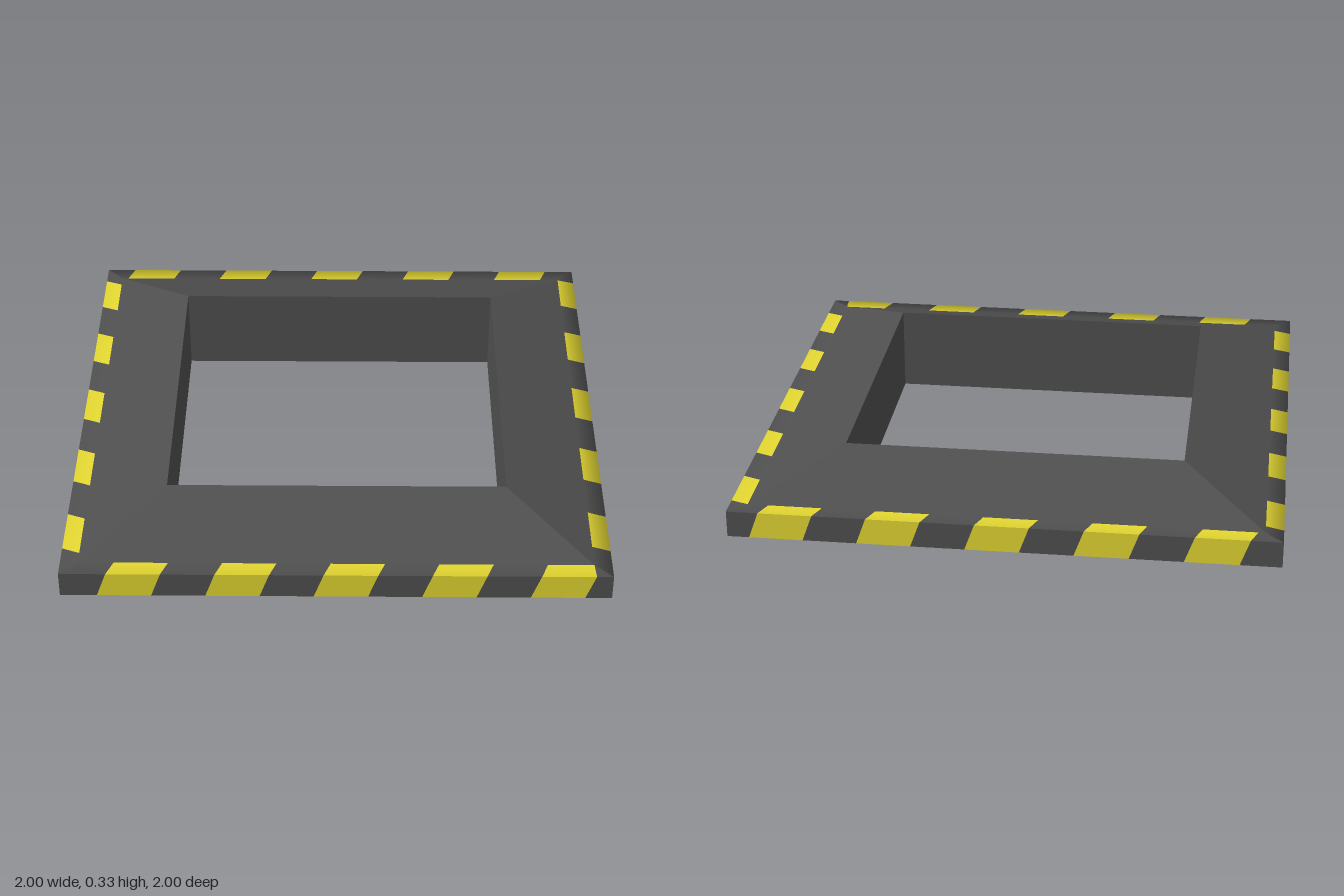
import * as THREE from 'three';

const rubber = new THREE.MeshStandardMaterial({ color: 0x4f4f4f });
rubber.name = 'darkGrey';
const paint = new THREE.MeshStandardMaterial({ color: 0xe0d430 });
paint.name = 'warningYellow';

// Cross-section of the frame: [distance from centre, height]
const BOTTOM_IN = [0.628, 0], BOTTOM_OUT = [1, 0.115], WALL_TOP = [1, 0.215];
const LEDGE_IN = [0.935, 0.215], TOP_IN = [0.628, 0.33];

// Normals of the softened ledge: [outward, up]
const ROUNDED = [0.8, 0.6], SLOPE = [0.35, 0.937];

// Mesh from quads, each { lower, upper: profile points, l, u: [start, end], normals }
function quadMesh(name, quads, material) {
  const pos = [], nor = [];
  for (const { lower, upper, l, u, normals } of quads) {
    const a = new THREE.Vector3(l[0], lower[1], lower[0]);
    const b = new THREE.Vector3(l[1], lower[1], lower[0]);
    const c = new THREE.Vector3(u[1], upper[1], upper[0]);
    const d = new THREE.Vector3(u[0], upper[1], upper[0]);
    const flat = b.clone().sub(a).cross(d.clone().sub(a)).normalize();
    const n = normals
      ? normals.map(([out, up]) => new THREE.Vector3(0, up, out).normalize())
      : [flat, flat];
    for (const p of [a, b, c, a, c, d]) {
      pos.push(p.x, p.y, p.z);
      const m = p === a || p === b ? n[0] : n[1];
      nor.push(m.x, m.y, m.z);
    }
  }
  const geo = new THREE.BufferGeometry();
  geo.setAttribute('position', new THREE.Float32BufferAttribute(pos, 3));
  geo.setAttribute('normal', new THREE.Float32BufferAttribute(nor, 3));
  const mesh = new THREE.Mesh(geo, material);
  mesh.name = name;
  return mesh;
}

// Stripe boundaries along one edge, clipped to the mitred corners
function boundaries(first, limit) {
  const cuts = [-limit];
  for (let i = 0; i < 5; i++) {
    const start = first + i * 0.393;
    cuts.push(start, start + 0.197);
  }
  cuts.push(limit);
  return cuts.map((c) => THREE.MathUtils.clamp(c, -limit, limit));
}

// One side of the square frame, facing +z
function createSide(index) {
  const side = new THREE.Group();
  const first = -0.83 - 0.027 * index;
  const span = (p) => [-p[0], p[0]];
  const face = (lower, upper) => ({ lower, upper, l: span(lower), u: span(upper) });

  side.add(quadMesh('topSlope', [face(LEDGE_IN, TOP_IN)], rubber));
  side.add(quadMesh('innerWall', [face(TOP_IN, BOTTOM_IN)], rubber));
  side.add(quadMesh('underside', [face(BOTTOM_IN, BOTTOM_OUT)], rubber));

  // Outer wall and ledge, cut into slanted stripes
  const low = boundaries(first - 0.036, 1);
  const mid = boundaries(first, 1);
  const inner = boundaries(first + 0.025, LEDGE_IN[0]);
  const dark = [], yellow = [];
  for (let i = 0; i < low.length - 1; i++) {
    const part = (cuts) => [cuts[i], cuts[i + 1]];
    (i % 2 ? yellow : dark).push(
      { lower: BOTTOM_OUT, upper: WALL_TOP, l: part(low), u: part(mid) },
      { lower: WALL_TOP, upper: LEDGE_IN, l: part(mid), u: part(inner), normals: [ROUNDED, SLOPE] }
    );
  }
  side.add(quadMesh('outerEdge', dark, rubber));
  side.add(quadMesh('warningStripes', yellow, paint));
  side.rotation.y = index * Math.PI / 2;
  return side;
}

export function createModel() {
  const model = new THREE.Group();
  model.name = 'squareFrame';
  ['frontSide', 'leftSide', 'backSide', 'rightSide'].forEach((name, i) => {
    const side = createSide(i);
    side.name = name;
    model.add(side);
  });
  return model;
}
